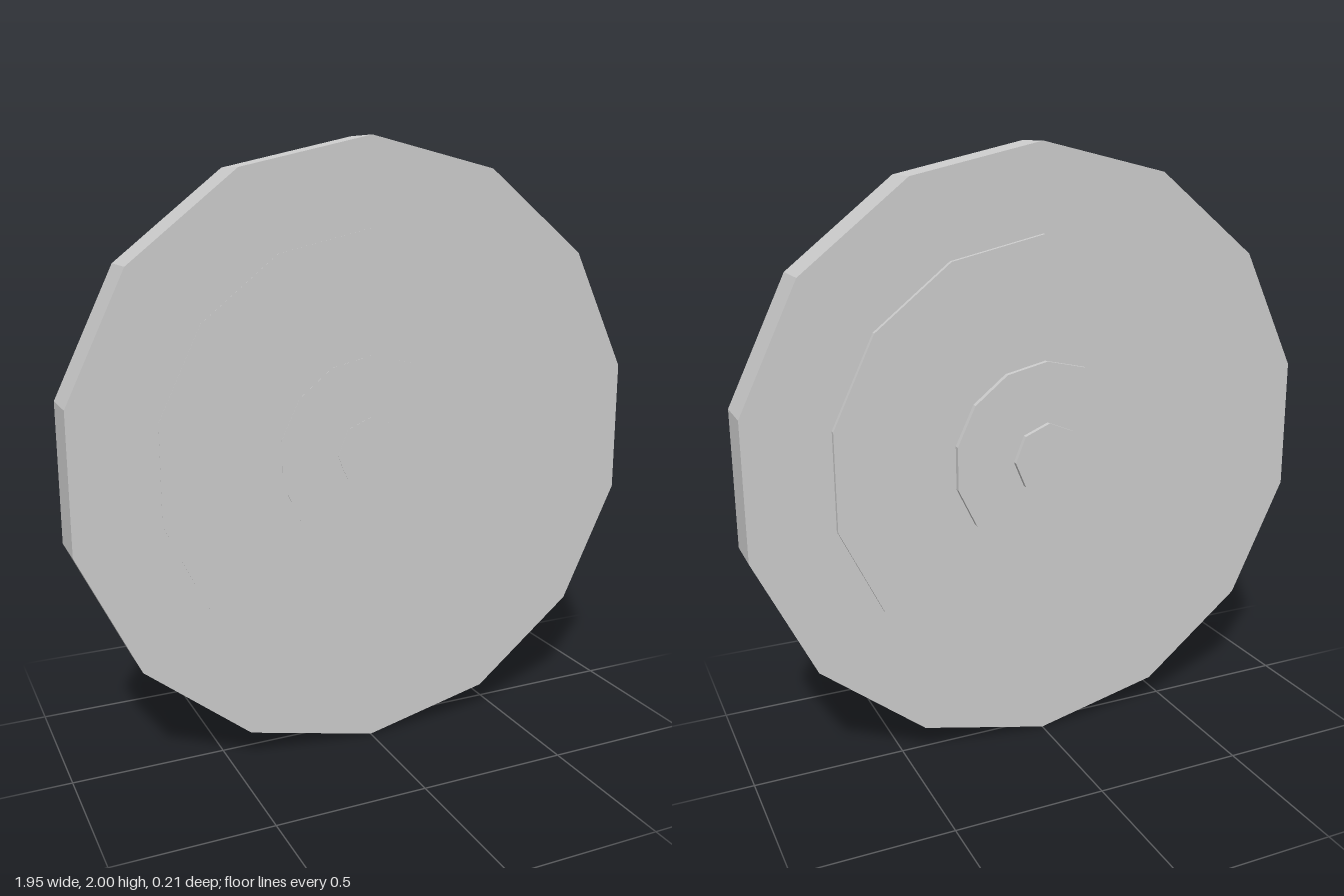
import * as THREE from 'three';

export function createModel() {
  const group = new THREE.Group();
  const grey = new THREE.MeshStandardMaterial({ color: 0xcccccc, flatShading: true });
  grey.name = 'plain grey';

  // Faceted disc standing upright between two depths, with a corner at the top
  function disc(name, radius, sides, back, front) {
    const geometry = new THREE.CylinderGeometry(radius, radius, front - back, sides);
    geometry.rotateX(Math.PI / 2);
    const mesh = new THREE.Mesh(geometry, grey);
    mesh.name = name;
    mesh.position.set(0, 1, (front + back) / 2);
    group.add(mesh);
  }

  // Stepped stack: each smaller disc runs through and stands proud at the back
  disc('mainDisc', 1, 14, -0.054, 0.103);
  disc('wideStep', 0.72, 14, -0.071, 0.104);
  disc('innerStep', 0.32, 14, -0.09, 0.105);
  disc('hub', 0.12, 8, -0.107, 0.106);

  return group;
}
